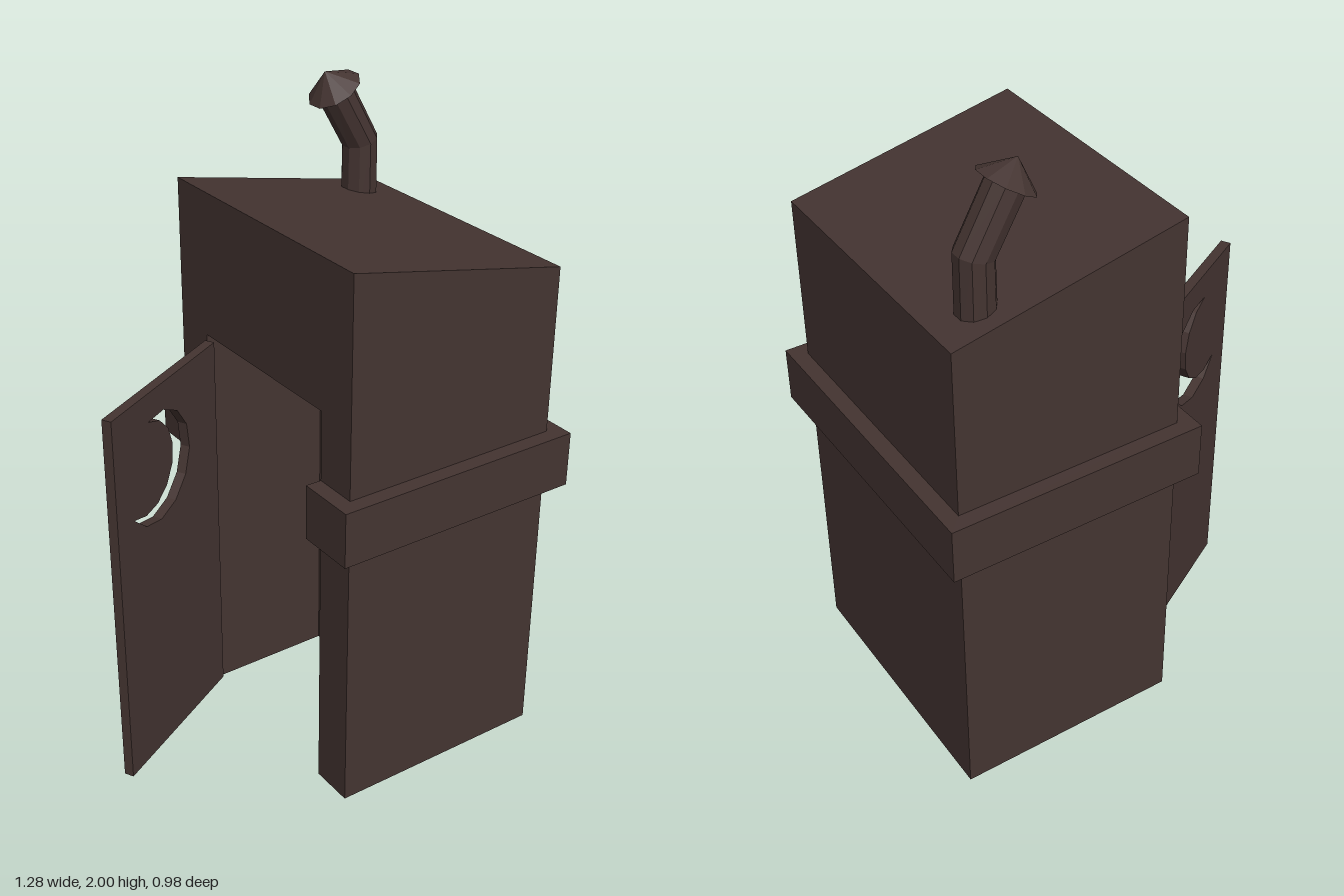
import * as THREE from 'three';

const wood = new THREE.MeshStandardMaterial({ color: 0x443431, flatShading: true });

const part = (name, geometry) => {
  const mesh = new THREE.Mesh(geometry, wood);
  mesh.name = name;
  return mesh;
};

const points = (list) => list.map(([x, y]) => new THREE.Vector2(x, y));
const extrude = (shape, depth) => new THREE.ExtrudeGeometry(shape, { depth, bevelEnabled: false });

// Points along a circular arc, angles in degrees
function arc(cx, cy, r, from, to, steps) {
  const list = [];
  for (let i = 0; i <= steps; i++) {
    const a = THREE.MathUtils.degToRad(from + ((to - from) * i) / steps);
    list.push([cx + r * Math.cos(a), cy + r * Math.sin(a)]);
  }
  return list;
}

// Walls with a doorway notch; the top vertices follow the sloping roof
function cabin() {
  const outline = points([
    [-0.44, 0], [-0.3, 0], [-0.3, 1.28], [0.3, 1.28], [0.3, 0], [0.44, 0], [0.44, 1.735], [-0.44, 1.735],
  ]);
  const geo = extrude(new THREE.Shape(outline), 0.72).rotateY(Math.PI / 2).translate(-0.13, 0, 0);
  const p = geo.attributes.position;
  for (let i = 0; i < p.count; i++) {
    if (p.getY(i) > 1.5) p.setY(i, 1.735 - ((p.getX(i) + 0.13) / 0.72) * 0.15);
  }
  geo.computeVertexNormals();
  return geo;
}

// Band around the cabin, left open at the doorway
function band() {
  const outline = points([
    [-0.18, 0.3], [-0.18, 0.49], [0.64, 0.49], [0.64, -0.49], [-0.18, -0.49], [-0.18, -0.3],
    [-0.13, -0.3], [-0.13, -0.44], [0.59, -0.44], [0.59, 0.44], [-0.13, 0.44], [-0.13, 0.3],
  ]);
  return extrude(new THREE.Shape(outline), 0.175).rotateX(-Math.PI / 2).translate(0, 0.885, 0);
}

// Door panel with a crescent cut-out
function doorPanel() {
  const panel = new THREE.Shape(points([[0, 0.02], [0.57, 0.02], [0.57, 1.265], [0, 1.265]]));
  const outer = arc(0.23, 1.005, 0.177, 105, -144, 9);
  const inner = arc(0.165, 1.03, 0.148, -120, 82, 8);
  panel.holes.push(new THREE.Path(points([...outer, ...inner.slice(1, -1)])));
  return extrude(panel, 0.031).translate(0, 0, -0.0155);
}

// Bent pipe: each ring of a cylinder is moved to its centre and tilted
function pipe() {
  const rings = [[0.357, 1.943, 0.52], [0.455, 1.77, 0.26], [0.455, 1.56, 0]];
  const geo = new THREE.CylinderGeometry(0.057, 0.057, 2, 10, 2);
  const p = geo.attributes.position;
  for (let i = 0; i < p.count; i++) {
    const [cx, cy, tilt] = rings[Math.round(1 - p.getY(i))];
    const x = p.getX(i);
    p.setXY(i, cx + x * Math.cos(tilt), cy + x * Math.sin(tilt));
  }
  geo.translate(0, 0, -0.335);
  geo.computeVertexNormals();
  return geo;
}

export function createModel() {
  const group = new THREE.Group();
  group.name = 'outhouse';

  group.add(part('cabin', cabin()));
  group.add(part('rearWallFill', new THREE.BoxGeometry(0.3, 1.28, 0.6).translate(0.44, 0.64, 0)));
  group.add(part('band', band()));

  // Door standing ajar on its hinge side
  const door = part('door', doorPanel());
  door.position.set(-0.632, 0, -0.007);
  door.rotation.y = 0.5015;
  group.add(door);

  // Stove pipe with a conical cap
  group.add(part('chimneyPipe', pipe()));
  const cap = part('chimneyCap', new THREE.ConeGeometry(0.086, 0.068, 10).translate(0, 0.034, 0));
  cap.position.set(0.357, 1.943, -0.335);
  cap.rotation.z = 0.53;
  group.add(cap);

  return group;
}
